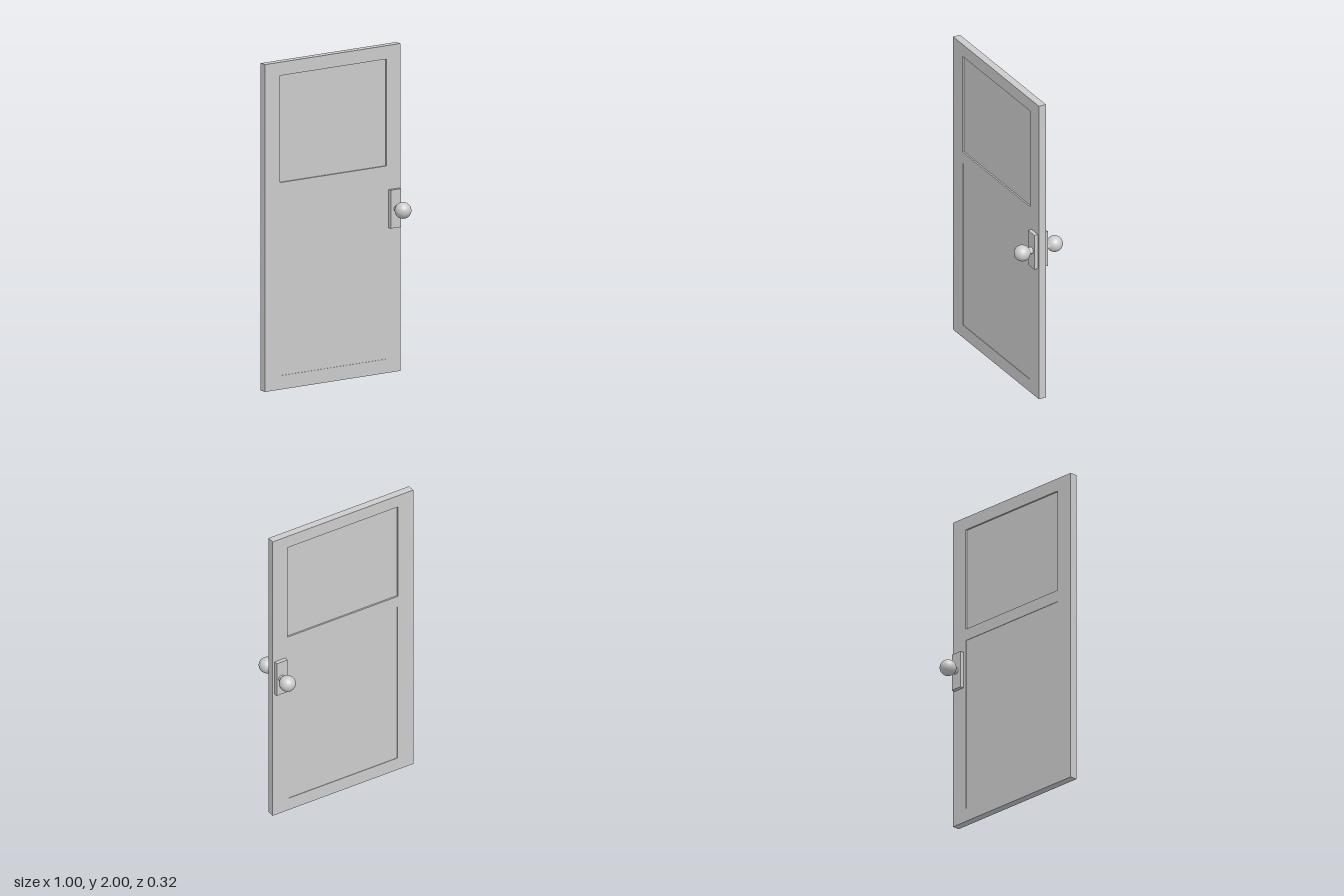
import * as THREE from 'three';

const material = new THREE.MeshStandardMaterial({ color: 0xcccccc });
const HALF = 0.0235; // half the door's thickness

// Recessed panels: x from, x to, y from, y to, recess depth
const panels = [
  { name: 'upperPanel', x0: -0.39, x1: 0.389, y0: 1.265, y1: 1.918, depth: 0.01 },
  { name: 'lowerPanel', x0: -0.387, x1: 0.384, y0: 0.085, y1: 1.19, depth: 0.003 },
];

function rectangle(target, x0, x1, y0, y1) {
  target.moveTo(x0, y0);
  target.lineTo(x1, y0);
  target.lineTo(x1, y1);
  target.lineTo(x0, y1);
  target.closePath();
  return target;
}

function addMesh(parent, name, geometry, x = 0, y = 0, z = 0) {
  const mesh = new THREE.Mesh(geometry, material);
  mesh.name = name;
  mesh.position.set(x, y, z);
  parent.add(mesh);
  return mesh;
}

// Plate, neck and ball, pointing along +z from the door's centre plane
function createHandle(name) {
  const handle = new THREE.Group();
  handle.name = name;
  const plateDepth = 0.024;
  addMesh(handle, 'plate', new THREE.BoxGeometry(0.074, 0.234, plateDepth), -0.004, 0, HALF + plateDepth / 2);

  // Neck flares into the ball
  const profile = [[0.021, 0.045], [0.021, 0.062], [0.023, 0.067], [0.029, 0.072], [0.037, 0.078]]
    .map(([r, d]) => new THREE.Vector2(r, d));
  const radius = 0.05, centre = 0.1125;
  for (let i = 0; i <= 20; i++) {
    const a = THREE.MathUtils.lerp(-0.6, Math.PI / 2, i / 20);
    profile.push(new THREE.Vector2(Math.max(0, radius * Math.cos(a)), centre + radius * Math.sin(a)));
  }
  const knob = addMesh(handle, 'knob', new THREE.LatheGeometry(profile, 40));
  knob.rotation.x = Math.PI / 2;
  return handle;
}

export function createModel() {
  const door = new THREE.Group();
  door.name = 'door';

  // Frame with an opening for each panel
  const outline = rectangle(new THREE.Shape(), -0.5, 0.495, 0, 2);
  for (const p of panels) outline.holes.push(rectangle(new THREE.Path(), p.x0, p.x1, p.y0, p.y1));
  const frame = new THREE.ExtrudeGeometry(outline, { depth: HALF * 2, bevelEnabled: false });
  addMesh(door, 'frame', frame, 0, 0, -HALF);

  // Panels set back from both faces
  for (const p of panels) {
    const panel = new THREE.BoxGeometry(p.x1 - p.x0, p.y1 - p.y0, (HALF - p.depth) * 2);
    addMesh(door, p.name, panel, (p.x0 + p.x1) / 2, (p.y0 + p.y1) / 2, 0);
  }

  // A handle on each face
  for (const side of [1, -1]) {
    const handle = createHandle(side > 0 ? 'frontHandle' : 'backHandle');
    handle.position.set(0.448, 1.002, 0);
    if (side < 0) {
      handle.rotation.y = Math.PI;
      handle.getObjectByName('plate').position.x *= -1;
    }
    door.add(handle);
  }
  return door;
}
